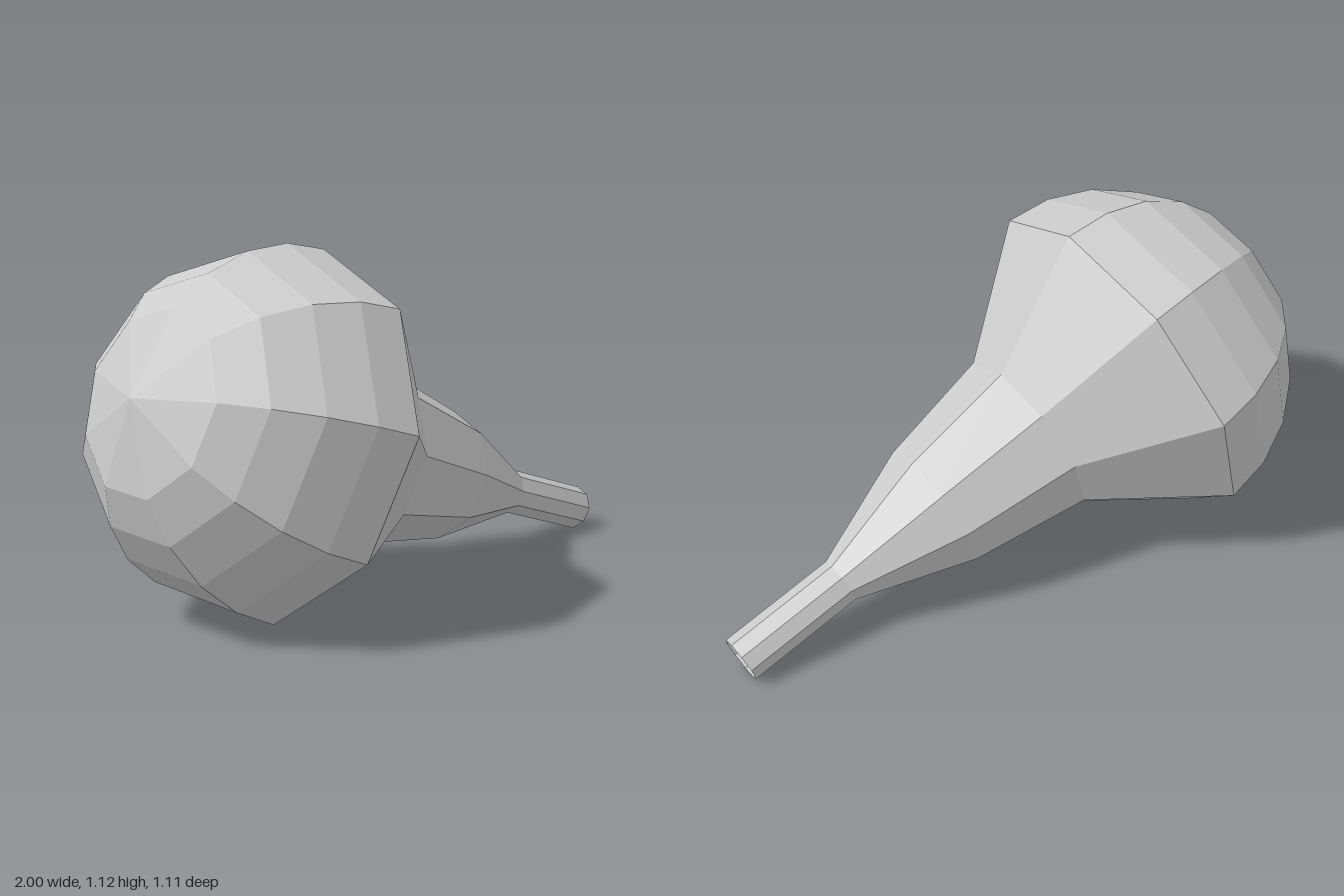
import * as THREE from 'three';

const SIDES = 9;
const R = 0.57; // bulb radius

export function createModel() {
  const group = new THREE.Group();
  const material = new THREE.MeshStandardMaterial({
    color: 0xcccccc, flatShading: true, side: THREE.DoubleSide,
  });

  // Profile measured along the axis: domed bulb, then a neck to the open nozzle
  const dome = [90, 61, 46, 30.5, 15].map((deg) => {
    const a = THREE.MathUtils.degToRad(deg);
    return new THREE.Vector2(deg === 90 ? 0 : R * Math.cos(a), -R * Math.sin(a));
  });
  const rim = new THREE.Vector2(R, 0);
  const neck = [[0.281, 0.374], [0.213, 0.753], [0.075, 1.123], [0.075, 1.505]]
    .map(([r, t]) => new THREE.Vector2(r, t));

  const addPart = (name, points) => {
    const mesh = new THREE.Mesh(new THREE.LatheGeometry(points, SIDES), material);
    mesh.name = name;
    group.add(mesh);
  };
  addPart('bulb', [...dome, rim]);
  addPart('neck', [rim, ...neck.slice(0, 3)]);
  addPart('nozzle', neck.slice(2));

  // Lay the axis down, sloping toward the nozzle, with one ridge on top
  const axis = new THREE.Vector3(0.94, -0.32, -0.12).normalize();
  const ridge = new THREE.Vector3(0.32, 0.94, 0).normalize();
  const across = new THREE.Vector3().crossVectors(axis, ridge);
  group.quaternion.setFromRotationMatrix(new THREE.Matrix4().makeBasis(across, axis, ridge));
  group.position.set(-0.437, 0.554, 0);

  const model = new THREE.Group();
  group.name = 'squeezeBulb';
  model.add(group);
  return model;
}
